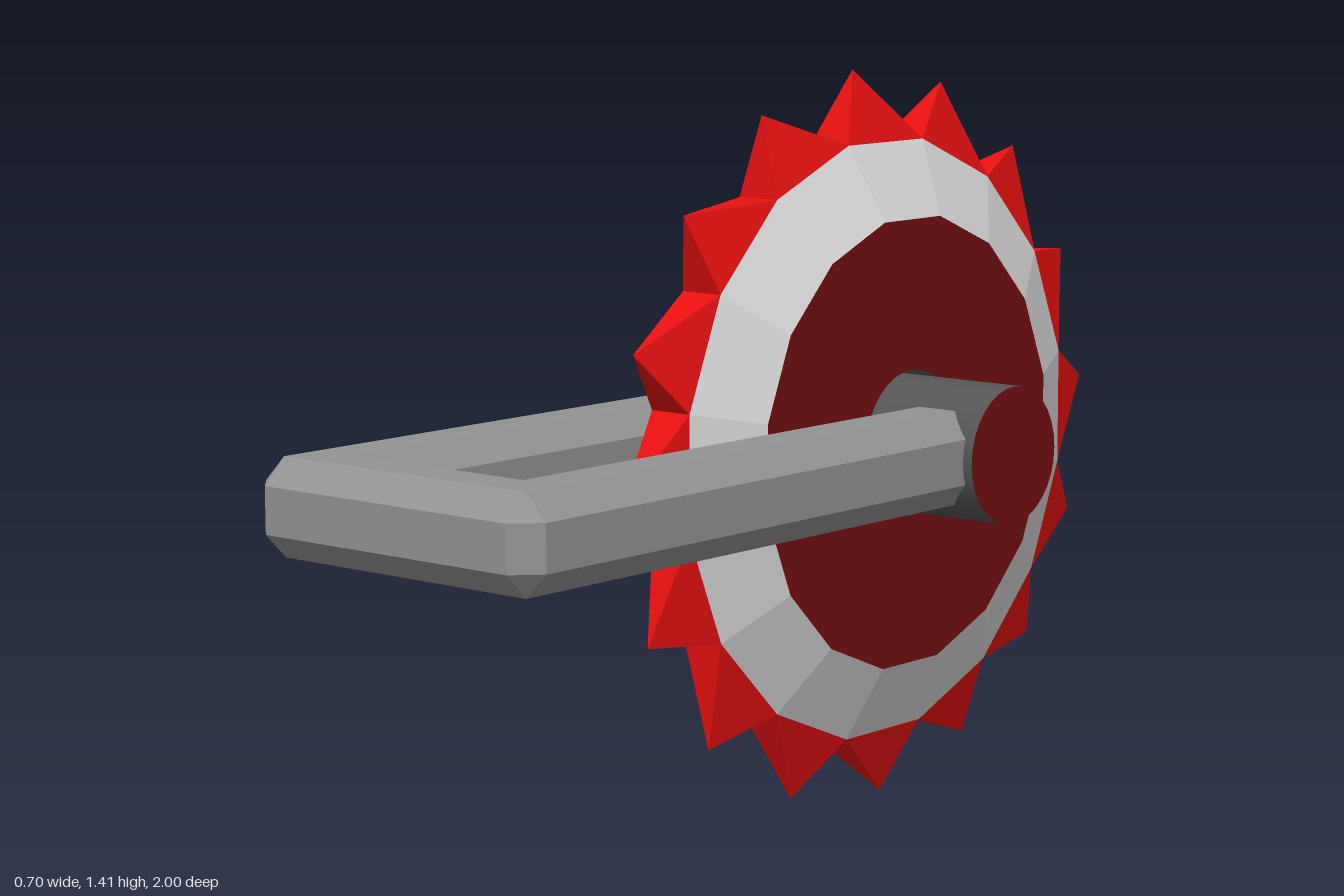
import * as THREE from 'three';

const SIDES = 16;
const CENTER = [0, 0.705, -0.296]; // wheel axis
const RIM = 0.568, FACE = 0.426;   // apothems of rim and flat face
const RIM_X = 0.045, FACE_X = 0.11; // half thicknesses
const HOLE = 0.14;

const mat = (name, color, extra = {}) => {
  const m = new THREE.MeshStandardMaterial({ color, ...extra });
  m.name = name;
  return m;
};

const part = (name, geometry, material) => {
  const mesh = new THREE.Mesh(geometry, material);
  mesh.name = name;
  return mesh;
};

function triangles(points) {
  const g = new THREE.BufferGeometry();
  g.setAttribute('position', new THREE.Float32BufferAttribute(points.flat(), 3));
  g.computeVertexNormals();
  return g;
}

// Leaning four-sided spike on one rim edge
function toothGeometry() {
  const b = RIM * Math.tan(Math.PI / SIDES), w = RIM_X;
  const base = [[w, RIM, b], [w, RIM, -b], [-w, RIM, -b], [-w, RIM, b]];
  const tip = [0, 0.705, 0.046];
  return triangles(base.flatMap((p, i) => [p, base[(i + 1) % 4], tip]));
}

// U-shaped bar with an octagonal section, swept from the left arm to the right
function handleGeometry() {
  const X = 0.33, Z = 1, W = 0.175, C = 0.046, H = 0.0885, start = -0.25;
  const h = H - C;
  // section: [inset from outer face, height]
  const section = [[0, h], [C, H], [W - C, H], [W, h], [W, -h], [W - C, -H], [C, -H], [0, -h]];
  const arm = section.map(([d, y]) => [X - d, y, start]);
  const cornerA = section.map(([d, y]) => [X - d, y, Z - Math.max(d, C)]);
  const cornerB = section.map(([d, y]) => [X - Math.max(d, C), y, Z - d]);
  const mirror = (ring) => ring.map(([x, y, z]) => [-x, y, z]);
  const rings = [arm, cornerA, cornerB, mirror(cornerB), mirror(cornerA), mirror(arm)];
  const pts = [];
  for (let i = 0; i < rings.length - 1; i++) {
    for (let j = 0; j < 8; j++) {
      const k = (j + 1) % 8, r = rings[i], s = rings[i + 1];
      pts.push(r[j], r[k], s[k], r[j], s[k], s[j]);
    }
  }
  // end caps
  for (let j = 1; j < 7; j++) {
    pts.push(arm[0], arm[j + 1], arm[j]);
    const e = rings[5];
    pts.push(e[0], e[j], e[j + 1]);
  }
  return triangles(pts);
}

// Flat polygon face with a round hole for the axle
function faceGeometry() {
  const r = FACE / Math.cos(Math.PI / SIDES);
  const outline = [];
  for (let i = 0; i < SIDES; i++) {
    const a = ((i + 0.5) / SIDES) * Math.PI * 2;
    outline.push(new THREE.Vector2(Math.cos(a) * r, Math.sin(a) * r));
  }
  const shape = new THREE.Shape(outline);
  shape.holes.push(new THREE.Path().absarc(0, 0, HOLE, 0, Math.PI * 2, true));
  return new THREE.ShapeGeometry(shape, 32);
}

export function createModel() {
  const steel = mat('handle grey', 0x939393);
  const darkSteel = mat('axle dark grey', 0x565656);
  const wall = mat('hub dark grey', 0x565656, { side: THREE.DoubleSide });
  const blade = mat('blade light grey', 0xdadada);
  blade.flatShading = true;
  const darkRed = mat('dark red', 0x740f0f);
  const red = mat('tooth red', 0xe81010);

  const model = new THREE.Group();
  model.name = 'sawWheelWithHandle';

  const wheel = new THREE.Group();
  wheel.name = 'wheel';
  wheel.position.set(...CENTER);
  model.add(wheel);

  // bevelled blade sides and their flat faces
  const k = 1 / Math.cos(Math.PI / SIDES), depth = FACE_X - RIM_X;
  for (const s of [1, -1]) {
    const bevel = new THREE.CylinderGeometry(FACE * k, RIM * k, depth, SIDES, 1, true, Math.PI / SIDES);
    bevel.rotateZ(-s * Math.PI / 2);
    const ring = part('bladeBevel', bevel, blade);
    ring.position.x = s * (RIM_X + depth / 2);
    const face = part('bladeFace', faceGeometry().rotateY(s * Math.PI / 2), darkRed);
    face.position.x = s * FACE_X;
    wheel.add(ring, face);
  }

  // teeth around the rim
  const tooth = toothGeometry();
  for (let i = 0; i < SIDES; i++) {
    const mesh = part('tooth', tooth, red);
    mesh.rotation.x = (i / SIDES) * Math.PI * 2;
    wheel.add(mesh);
  }

  // axle and the bore it turns in
  const bore = new THREE.CylinderGeometry(HOLE, HOLE, FACE_X * 2, 32, 1, true).rotateZ(Math.PI / 2);
  const axle = new THREE.CylinderGeometry(0.13, 0.13, 0.7, 32).rotateZ(Math.PI / 2);
  wheel.add(part('bore', bore, wall), part('axle', axle, [darkSteel, darkRed, darkRed]));

  // handle
  const handle = part('handle', handleGeometry(), steel);
  handle.position.y = CENTER[1];
  model.add(handle);

  return model;
}
